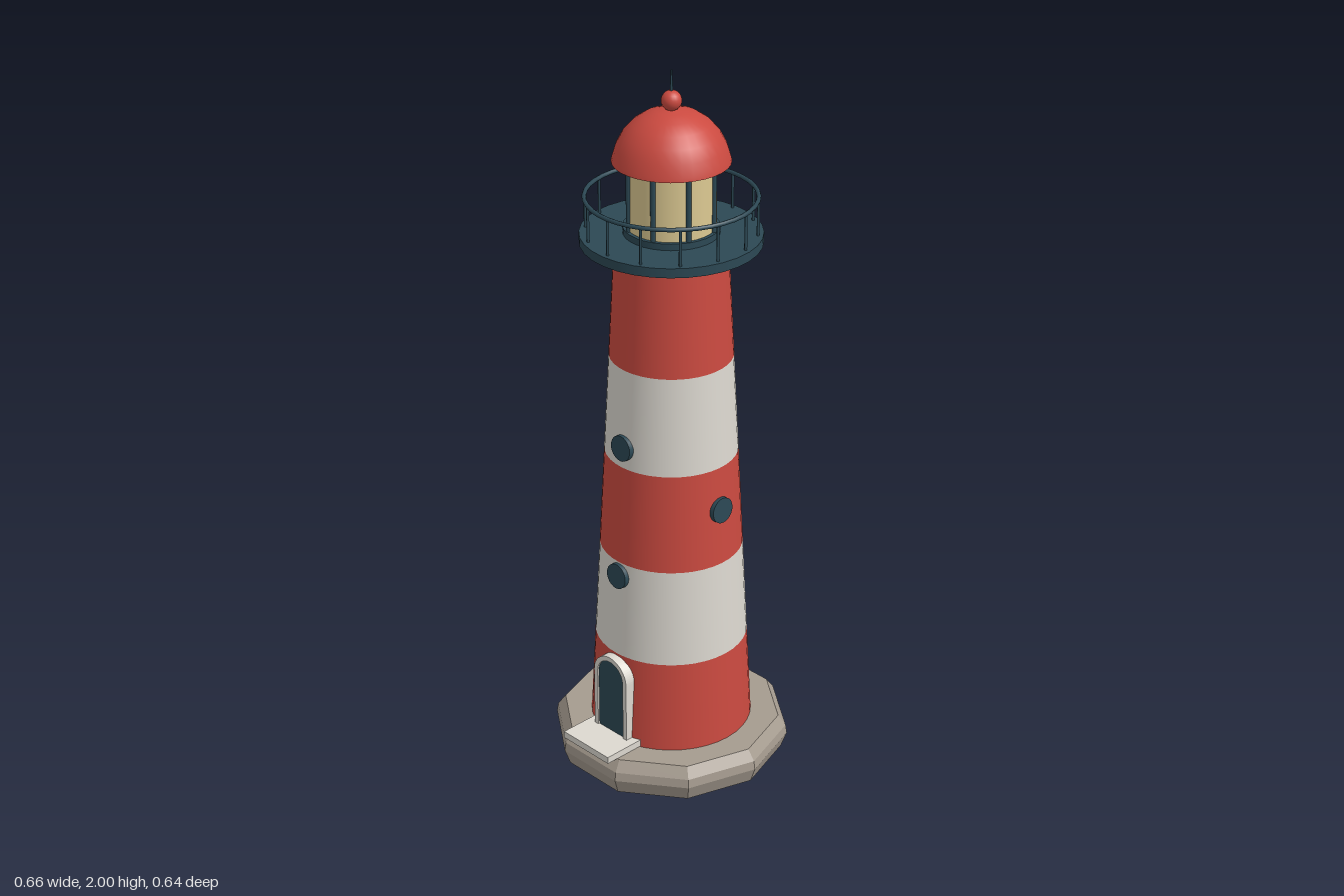
import * as THREE from 'three';

const mat = (name, color) => Object.assign(new THREE.MeshStandardMaterial({ color }), { name });

export function createModel() {
  const model = new THREE.Group();
  model.name = 'lighthouse';
  const red = mat('red paint', 0xcb4a40);
  const white = mat('white paint', 0xdcd8d0);
  const dark = mat('dark metal', 0x2c4854);
  const glass = mat('lantern glass', 0xdcc992);
  const stone = mat('stone', 0xa59b8f);
  stone.flatShading = true;

  // Everything round shares one axis, slightly behind the origin
  const tower = new THREE.Group();
  tower.name = 'tower';
  tower.position.z = -0.007;
  model.add(tower);

  const add = (name, geometry, material, x = 0, y = 0, z = 0) => {
    const mesh = new THREE.Mesh(geometry, material);
    mesh.name = name;
    mesh.position.set(x, y, z);
    tower.add(mesh);
    return mesh;
  };
  const lathe = (points, segments) =>
    new THREE.LatheGeometry(points.map(([r, y]) => new THREE.Vector2(r, y)), segments);

  // Ten-sided stone foundation with chamfered rim
  const base = add('foundation',
    lathe([[0, 0], [0.316, 0], [0.332, 0.045], [0.328, 0.07], [0.306, 0.1], [0, 0.1]], 10), stone);
  base.rotation.y = Math.PI / 10;

  // Tapering wall in five painted bands
  const wallRadius = y => 0.225 - 0.0525 * (y - 0.1);
  const levels = [0.09, 0.368, 0.65, 0.934, 1.214, 1.51];
  for (let i = 0; i < 5; i++) {
    const [y0, y1] = [levels[i], levels[i + 1]];
    add('wallBand', new THREE.CylinderGeometry(wallRadius(y1), wallRadius(y0), y1 - y0, 40, 1, true),
      i % 2 ? white : red, 0, (y0 + y1) / 2);
  }

  // Round windows, set flush to the sloping wall
  for (const [y, side] of [[0.61, 0], [0.993, 0], [0.812, 1]]) {
    const geometry = new THREE.CylinderGeometry(0.036, 0.036, 0.02, 24);
    geometry.rotateX(Math.PI / 2 - 0.052);
    geometry.translate(0, 0, wallRadius(y));
    geometry.rotateY(side * Math.PI / 2);
    add('roundWindow', geometry, dark, 0, y);
  }

  // Arched door with frame, and doorstep
  const arch = (ShapeType, w, bottom, top) => {
    const s = new ShapeType();
    s.moveTo(-w, bottom);
    s.lineTo(w, bottom);
    s.lineTo(w, top - w);
    s.absarc(0, top - w, w, 0, Math.PI, false);
    s.closePath();
    return s;
  };
  const extrude = (shape, depth) =>
    new THREE.ExtrudeGeometry(shape, { depth, bevelEnabled: false, curveSegments: 16 });
  const frame = arch(THREE.Shape, 0.064, 0.1, 0.362);
  frame.holes.push(arch(THREE.Path, 0.05, 0.105, 0.348));
  add('doorFrame', extrude(frame, 0.055), white, 0, 0, 0.18);
  add('door', extrude(arch(THREE.Shape, 0.051, 0.104, 0.349), 0.05), dark, 0, 0, 0.18);
  add('doorstep', new THREE.BoxGeometry(0.178, 0.02, 0.14), white, 0, 0.112, 0.259);

  // Gallery deck with flared underside
  add('galleryUnderside', lathe([[0.148, 1.503], [0.175, 1.507], [0.24, 1.535]], 32), dark);
  add('galleryDeck', new THREE.CylinderGeometry(0.24, 0.24, 0.026, 32), dark, 0, 1.548);

  // Railing
  const rail = add('handrail', new THREE.TorusGeometry(0.225, 0.006, 8, 40), dark, 0, 1.66);
  rail.rotation.x = Math.PI / 2;
  for (let i = 0; i < 14; i++) {
    const a = i * Math.PI / 7;
    add('railPost', new THREE.CylinderGeometry(0.004, 0.004, 0.1, 6), dark,
      0.225 * Math.sin(a), 1.61, 0.225 * Math.cos(a));
  }

  // Lantern room
  add('lanternGlass', new THREE.CylinderGeometry(0.117, 0.117, 0.205, 32), glass, 0, 1.66);
  add('lanternSill', new THREE.CylinderGeometry(0.127, 0.127, 0.02, 32), dark, 0, 1.569);
  for (let i = 0; i < 8; i++) {
    const a = (i + 0.5) * Math.PI / 4;
    add('lanternBar', new THREE.CylinderGeometry(0.007, 0.007, 0.2, 8), dark,
      0.118 * Math.sin(a), 1.66, 0.118 * Math.cos(a));
  }

  // Domed roof, ball and spike
  add('roofUnderside', lathe([[0, 1.757], [0.155, 1.757]], 32), red);
  add('roofDome', lathe([[0.155, 1.757], [0.153, 1.767], [0.143, 1.8], [0.126, 1.832], [0.102, 1.859],
    [0.072, 1.88], [0.038, 1.892], [0, 1.897]], 32), red);
  add('finialBall', new THREE.SphereGeometry(0.027, 20, 14), red, 0, 1.919);
  add('spike', new THREE.CylinderGeometry(0.002, 0.005, 0.07, 8), dark, 0, 1.965);

  return model;
}
